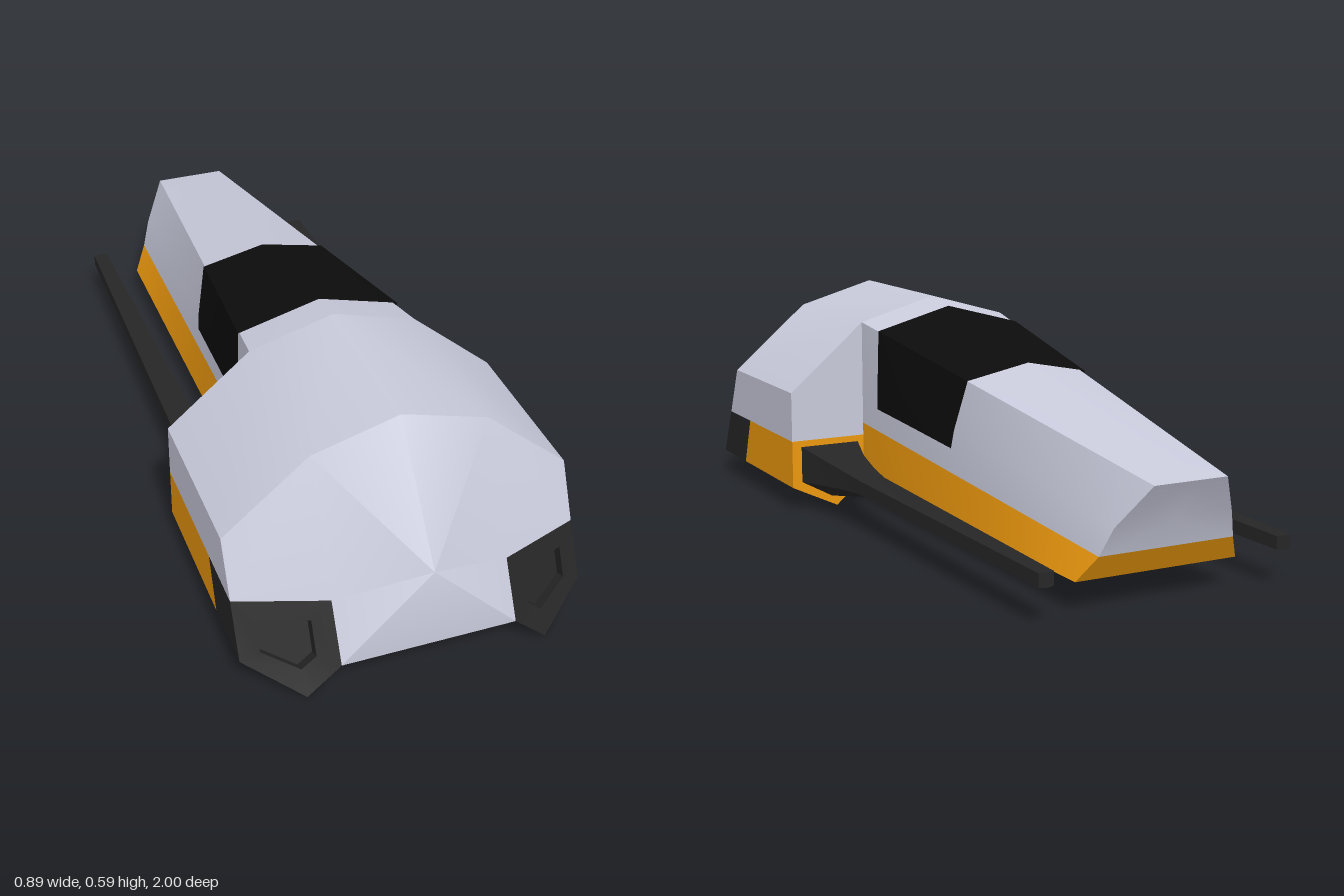
import * as THREE from 'three';
import { toCreasedNormals } from 'three/addons/utils/BufferGeometryUtils.js';

const mat = (color, side = THREE.FrontSide) => new THREE.MeshStandardMaterial({ color, side });
const HULL = mat(0xc8cadb);
const ORANGE = mat(0xec980e);
const DARK = mat(0x262626);
const GLASS = mat(0x0c0c0c, THREE.DoubleSide);

const lerp = (a, b, t) => a.map((v, i) => v + (b[i] - v) * t);

// Fans each polygon into triangles facing away from (sign 1) or toward (sign -1) a centre,
// or away from a line along z if the centre has no z; then adds the copy mirrored in x.
function halfMesh(name, material, polygons, [cx, cy, cz], sign = 1) {
  const pos = [];
  for (const poly of polygons) {
    for (let i = 1; i < poly.length - 1; i++) {
      const [p, q, r] = [poly[0], poly[i], poly[i + 1]].map((v) => new THREE.Vector3(...v));
      const n = q.clone().sub(p).cross(r.clone().sub(p));
      if (n.length() < 1e-9) continue;
      const mid = p.clone().add(q).add(r).divideScalar(3);
      const out = new THREE.Vector3(mid.x - cx, mid.y - cy, cz === undefined ? 0 : mid.z - cz);
      const tri = n.dot(out) * sign > 0 ? [p, q, r] : [p, r, q];
      for (const v of tri) pos.push(v.x, v.y, v.z);
      for (const k of [0, 2, 1]) pos.push(-tri[k].x, tri[k].y, tri[k].z);
    }
  }
  const geo = new THREE.BufferGeometry();
  geo.setAttribute('position', new THREE.Float32BufferAttribute(pos, 3));
  const mesh = new THREE.Mesh(toCreasedNormals(geo, 0.63), material);
  mesh.name = name;
  return mesh;
}

// Quads between successive sections, closed into rings if asked
function strips(sections, closed = false) {
  const quads = [];
  for (let s = 0; s < sections.length - 1; s++) {
    const a = sections[s], b = sections[s + 1], n = a.length;
    for (let i = 0; i < (closed ? n : n - 1); i++) {
      const j = (i + 1) % n;
      quads.push([a[i], a[j], b[j], b[i]]);
    }
  }
  return quads;
}

// Slanted plane shared by the pod fronts and the recesses in them
const frontZ = (x, y) => 0.925 - 0.44 * (x - 0.225) - 0.48 * (y - 0.215);

export function createModel() {
  const model = new THREE.Group();
  model.name = 'spacecraft';

  // Main body with sloping rounded front
  const outline = [[0, 0.592], [0.225, 0.528], [0.445, 0.34], [0.445, 0.2]];
  const rear = outline.map(([x, y]) => [x, y, 0.32]);
  const brow = outline.map(([x, y], i) => [x, y, i === 3 ? 0.835 : 0.77]);
  const podTop = [0.225, 0.215, 0.925];
  const chin = [0, 0.3, 1];
  model.add(halfMesh('mainBody', HULL, [
    ...strips([rear, brow]),
    [...rear, [0, 0.2, 0.32]],
    [brow[0], brow[1], chin],
    [brow[1], podTop, chin],
    [brow[1], brow[2], brow[3], podTop],
    [chin, podTop, [0.225, 0.075, 1], [0, 0.075, 1]],
  ], [0.05, 0.25, 0.55]));
  model.add(halfMesh('bodyFloor', ORANGE, [
    [[0, 0.075, 0.32], [0.225, 0.075, 0.32], [0.225, 0.075, 1], [0, 0.075, 1]],
  ], [0.1, 0.3, 0.6]));

  // Side pods: orange rear, dark slanted tip with a recess
  const podShape = [[0.225, 0.2], [0.445, 0.2], [0.445, 0.065], [0.31, 0], [0.225, 0.075]];
  const podRear = podShape.map(([x, y]) => [x, y, 0.32]);
  const podSeam = podShape.map(([x, y], i) => [x, y, [0.665, 0.665, 0.715, 0.78, 0.715][i]]);
  const podFront = podShape.map(([x, y], i) => {
    const h = i === 0 ? 0.215 : y;
    return [x, h, i > 2 ? 1 : frontZ(x, h)];
  });
  const hole = [[0.275, 0.168], [0.397, 0.16], [0.397, 0.09], [0.312, 0.056], [0.275, 0.088]]
    .map(([x, y]) => [x, y, frontZ(x, y)]);
  const holeFloor = hole.map(([x, y, z]) => [x, y - 0.012, z - 0.03]);
  const podCentre = [0.33, 0.1, 0.6];
  model.add(halfMesh('podRears', ORANGE, [...strips([podRear, podSeam], true), podRear], podCentre));
  model.add(halfMesh('podTips', DARK, strips([podSeam, podFront, hole], true), podCentre));
  model.add(halfMesh('podRecesses', DARK,
    [...strips([hole, holeFloor], true), holeFloor], [0.33, 0.11, 0.915], -1));

  // Tapering fuselage: straight edge lines from the body to the nose
  const root = [[0, 0.592, 0.32], [0.225, 0.528, 0.32], [0.225, 0.38, 0.32],
    [0.225, 0.235, 0.32], [0.225, 0.075, 0.32]];
  const nose = [[0, 0.315, -1], [0.1, 0.315, -1], [0.163, 0.21, -0.935],
    [0.187, 0.14, -0.91], [0.225, 0.075, -0.87]];
  const stations = [];
  for (let i = 0; i <= 12; i++) stations.push(root.map((p, k) => lerp(p, nose[k], i / 12)));
  const axis = ([, y, z]) => [0, y, z];
  model.add(halfMesh('fuselage', HULL, [
    ...strips(stations.map((s) => s.slice(0, 4))),
    [axis(nose[1]), nose[1], nose[2], axis(nose[2])],
    [axis(nose[2]), nose[2], nose[3], axis(nose[3])],
  ], [0, 0.22, -0.3]));

  // Orange skirt, with a shallow keel blended into its floor
  const keelTop = [[0, 0.075, 0.32], [0.225, 0.075, 0.32], [0.225, 0.075, -0.28], [0, 0.075, -0.28]];
  const keelLow = [[0, 0.02, 0.23], [0.115, 0.02, 0.23], [0.115, 0.02, -0.19], [0, 0.02, -0.19]];
  model.add(halfMesh('fuselageSkirt', ORANGE, [
    ...strips(stations.map((s) => s.slice(3))),
    [axis(nose[3]), nose[3], nose[4], axis(nose[4])],
    [keelTop[3], keelTop[2], nose[4], axis(nose[4])],
    ...strips([keelTop, keelLow]), keelLow,
  ], [0, 0.15, -0.1]));

  // Canopy wrapped over the fuselage, slightly proud of it
  const onEdge = (k, z) => lerp(root[k], nose[k], (0.32 - z) / (0.32 - nose[k][2]));
  const canopy = [];
  for (let i = 0; i <= 6; i++) {
    const t = i / 6;
    const at = (end) => 0.215 + (end - 0.215) * t;
    const low = lerp(onEdge(2, at(-0.21)), onEdge(3, at(-0.21)), 0.53 - 0.1 * t);
    canopy.push([onEdge(0, at(-0.25)), onEdge(1, at(-0.245)), onEdge(2, at(-0.218)), low]
      .map(([x, y, z], k) => [k ? x + 0.005 : 0, k < 2 ? y + 0.004 : y, z]));
  }
  model.add(halfMesh('canopy', GLASS, strips(canopy), [0, 0.22, 0]));

  // Long barrels flaring into the pod rears: [z, half width, top, bottom]
  const barrel = [[0.325, 0.088, 0.183, 0.028], [0.22, 0.062, 0.162, 0.05], [0.12, 0.047, 0.149, 0.07],
    [0.03, 0.038, 0.14, 0.083], [-0.92, 0.02, 0.127, 0.09]].map(([z, w, top, low], i) => {
    const shoulder = low + (top - low) * (i === 4 ? 0.1 : 0.33);
    return [[0.33 - w, top, z], [0.33 + w, top, z], [0.33 + w, shoulder, z],
      [0.325, low, z], [0.33 - w, shoulder, z]];
  });
  model.add(halfMesh('barrels', DARK, strips(barrel, true), [0.33, 0.11]));
  model.add(halfMesh('barrelTips', DARK, [barrel[4]], [0.33, 0.11, 0]));

  return model;
}
